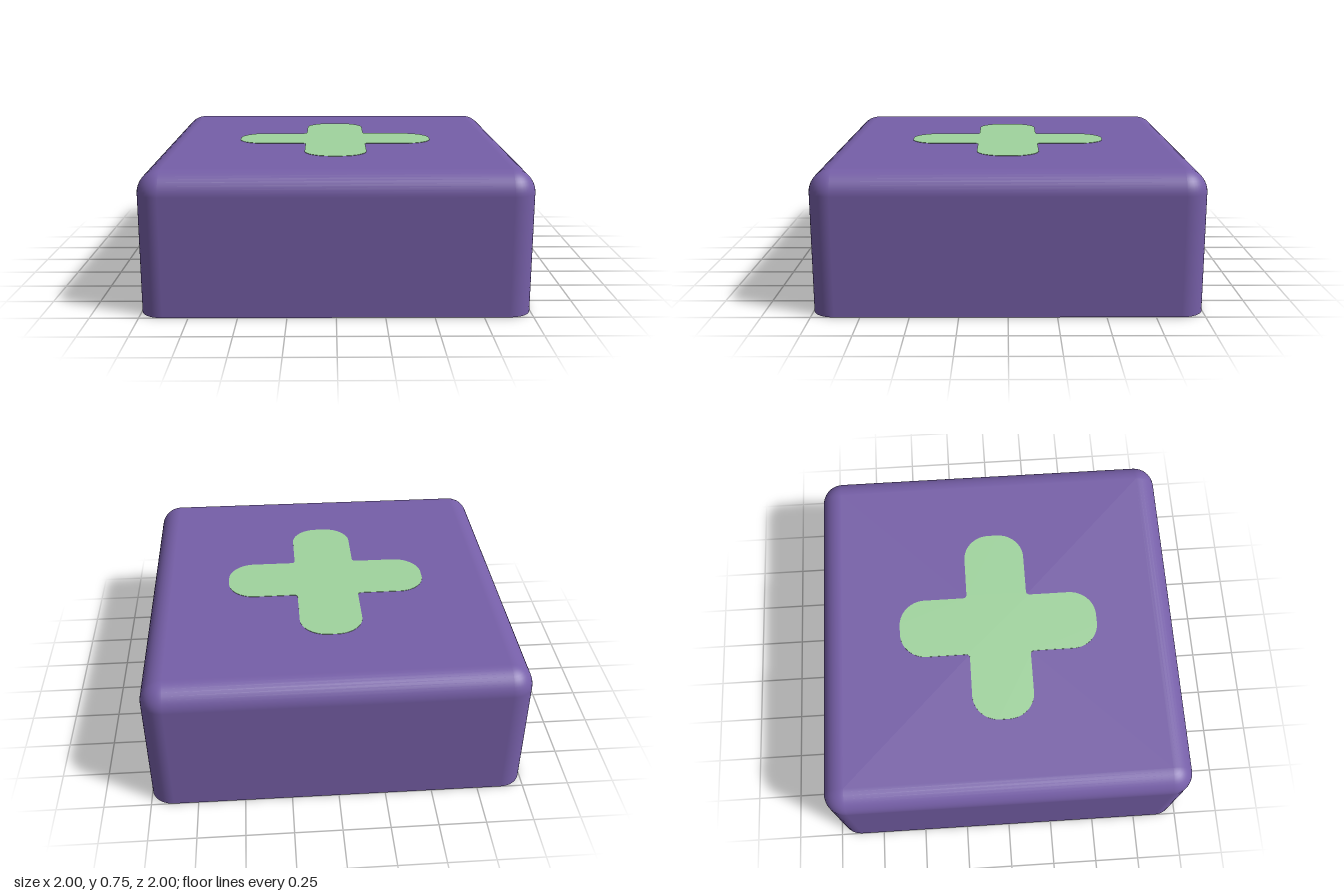
import * as THREE from 'three';
import { toCreasedNormals } from 'three/addons/utils/BufferGeometryUtils.js';

const TOP = 0.745, CEILING = 0.61, STEM_BOTTOM = 0.105, STEM_R = 0.307;

// Lofts rounded-square sections; each is [halfSize, cornerRadius, y, outwardNormal, upNormal]
function loftSquare(profile, steps = 10) {
  const pos = [], nor = [], idx = [], ring = 4 * (steps + 1);
  for (const [h, r, y, no, ny] of profile) {
    for (let k = 0; k < 4; k++) {
      const mid = (k + 0.5) * Math.PI / 2;
      const cx = Math.sign(Math.cos(mid)) * (h - r), cz = Math.sign(Math.sin(mid)) * (h - r);
      for (let s = 0; s <= steps; s++) {
        const t = (k + s / steps) * Math.PI / 2, c = Math.cos(t), n = Math.sin(t);
        pos.push(cx + r * c, y, cz + r * n);
        nor.push(no * c, ny, no * n);
      }
    }
  }
  for (let i = 0; i < profile.length - 1; i++) {
    for (let j = 0; j < ring; j++) {
      const a = i * ring + j, d = i * ring + (j + 1) % ring, b = a + ring, c = d + ring;
      idx.push(a, b, d, b, c, d);
    }
  }
  const g = new THREE.BufferGeometry();
  g.setAttribute('position', new THREE.Float32BufferAttribute(pos, 3));
  g.setAttribute('normal', new THREE.Float32BufferAttribute(nor, 3));
  g.setIndex(idx);
  return g;
}

// Plus outline: arm length, half width, tip corner radius, inner fillet
function traceCross(path, len, w, r, f) {
  for (let k = 0; k < 4; k++) {
    const a = k * Math.PI / 2, q = Math.PI / 2;
    const arc = (x, y, rad, from, to, cw) => path.absarc(
      x * Math.cos(a) - y * Math.sin(a), x * Math.sin(a) + y * Math.cos(a), rad, a + from, a + to, cw);
    arc(len - r, r - w, r, -q, 0, false);
    arc(len - r, w - r, r, 0, q, false);
    arc(w + f, w + f, f, -q, -2 * q, true);
  }
  path.closePath();
  return path;
}

// Extrudes a flat shape upward from y0 to y1
function extrudeUp(shape, y0, y1, curveSegments) {
  const g = new THREE.ExtrudeGeometry(shape, { depth: y1 - y0, bevelEnabled: false, curveSegments });
  g.rotateX(-Math.PI / 2).translate(0, y0, 0);
  return toCreasedNormals(g, 0.6);
}

export function createModel() {
  const purple = new THREE.MeshStandardMaterial({ color: 0x765fa8 });
  purple.name = 'purple';
  const green = new THREE.MeshStandardMaterial({ color: 0xa0d49e });
  green.name = 'green';

  const group = new THREE.Group();
  const add = (name, geometry, material) => {
    const mesh = new THREE.Mesh(geometry, material);
    mesh.name = name;
    group.add(mesh);
  };

  // Hollow shell: ceiling, inner walls, bottom rim, outer walls, rounded top
  const R = 0.12, IN = 0.868, IR = 0.06;
  const profile = [
    [0, 0, CEILING, 0, -1], [IN, IR, CEILING, 0, -1],
    [IN, IR, CEILING, -1, 0], [IN, IR, 0, -1, 0],
    [IN, IR, 0, 0, -1], [1, R, 0, 0, -1],
    [1, R, 0, 1, 0],
  ];
  for (let i = 0; i <= 10; i++) {
    const t = i / 10 * Math.PI / 2, c = Math.cos(t), s = Math.sin(t);
    profile.push([1 - R + R * c, R * c, TOP - R + R * s, c, s]);
  }
  profile.push([0, 0, TOP, 0, 1]);
  add('shell', loftSquare(profile), purple);

  // Inlaid plus on the top face
  add('plusInlay', extrudeUp(traceCross(new THREE.Shape(), 0.555, 0.17, 0.145, 0.02), TOP - 0.003, TOP + 0.002, 12), green);

  // Round stem underneath with a cross-shaped socket
  const stem = new THREE.Shape().absarc(0, 0, STEM_R, 0, Math.PI * 2, false);
  stem.holes.push(traceCross(new THREE.Path(), 0.22, 0.086, 0.008, 0.008));
  add('stem', extrudeUp(stem, STEM_BOTTOM, CEILING, 32), purple);

  // Fillet where the stem meets the ceiling
  const F = 0.055, fillet = [];
  for (let i = 0; i <= 6; i++) {
    const t = i / 6 * Math.PI / 2;
    fillet.push(new THREE.Vector2(STEM_R + F * (1 - Math.cos(t)), CEILING - F * (1 - Math.sin(t))));
  }
  add('stemFillet', new THREE.LatheGeometry(fillet, 64), purple);

  return group;
}
